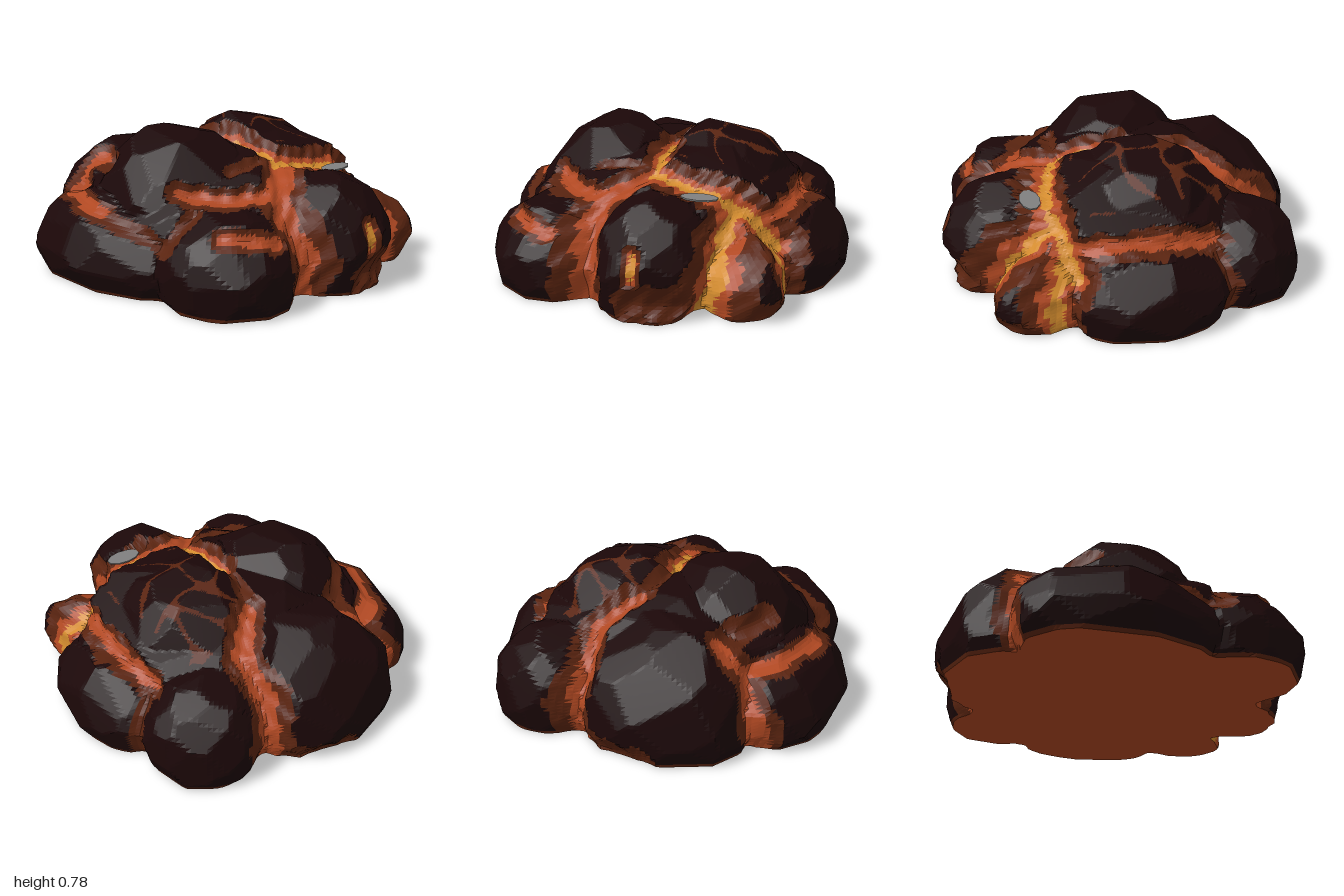
import * as THREE from 'three';

// seeded random numbers
let seed = 11;
const rand = () => (seed = (seed * 16807) % 2147483647) / 2147483647;

const mat = (name, color) => {
  const m = new THREE.MeshStandardMaterial({ color, flatShading: true });
  m.name = name;
  return m;
};

// unit direction from azimuth (0 = front, 90 = left) and elevation, in radians
const direction = (az, el) =>
  new THREE.Vector3(Math.cos(el) * Math.sin(az), Math.sin(el), Math.cos(el) * Math.cos(az));

// chiselled boulder: a set of planes around an ellipsoid (centre, radii)
function boulder(c, r, count = 70) {
  const planes = [];
  for (let i = 0; i < count; i++) {
    const y = 1 - 2 * (i + 0.5) / count, a = i * 2.39996, s = Math.sqrt(1 - y * y);
    const n = new THREE.Vector3(s * Math.cos(a), y, s * Math.sin(a));
    n.x += (rand() - 0.5) * 0.3; n.y += (rand() - 0.5) * 0.3; n.z += (rand() - 0.5) * 0.3;
    n.normalize();
    const h = Math.hypot(n.x * r[0], n.y * r[1], n.z * r[2]);
    planes.push({ n, w: h * (0.95 + rand() * 0.06) + n.x * c[0] + n.y * c[1] + n.z * c[2] });
  }
  return planes;
}

// distance at which a ray from the origin leaves a boulder, 0 for a miss
function exitDistance(planes, d) {
  let near = 0, far = 9;
  for (const { n, w } of planes) {
    const k = n.dot(d);
    if (k > 1e-6) far = Math.min(far, w / k);
    else if (k < -1e-6) near = Math.max(near, w / k);
    else if (w < 0) return 0;
  }
  return far > near ? far : 0;
}

// crack: hottest tone (1 ember, 2 lava, 3 glow), half width, then azimuth and elevation pairs
function crack(tone, width, ...angles) {
  const path = [], rad = Math.PI / 180;
  for (let i = 0; i < angles.length; i += 2) path.push(direction(angles[i] * rad, angles[i + 1] * rad));
  return { tone, width, path };
}

function makeCracks() {
  const list = [];
  const add = (...args) => list.push(crack(...args));
  // over the top, from the back to the front
  add(2, 0.10, 160, 0, 161, 25, 153, 40, 166, 59);
  add(1, 0.05, 166, 59, 174, 74, 180, 86);
  add(3, 0.10, 180, 88, -4, 78, 0, 57);
  // hot ridge behind the front plates
  add(3, 0.13, 0, 57, 19, 50, 41, 39, 52, 29, 59, 20);
  add(2, 0.12, 0, 57, -19, 40, -22, 31, -17, 13, -19, 0);
  add(2, 0.08, -19, 40, -46, 38, -66, 39);
  // around the small front right rock
  add(3, 0.15, 44, 36, 32, 21, 25, 0);
  add(3, 0.12, 52, 29, 54, 13, 55, 0);
  add(1, 0.10, 25, 0, 40, 0, 55, 0);
  // left-hand side
  add(2, 0.07, 54, 29, 74, 32, 98, 32);
  add(2, 0.08, 98, 32, 115, 28);
  add(1, 0.04, 115, 28, 115, 0);
  // right-hand side
  add(2, 0.08, -137, 0, -140, 14, -139, 25, -146, 36);
  add(1, 0.07, -146, 36, -130, 41, -118, 41);
  add(2, 0.05, -139, 25, -117, 26, -97, 25);
  add(1, 0.04, -97, 25, -66, 19, -59, 32);
  // small splits in the plates
  add(2, 0.05, -48, 23, -30, 21);
  add(3, 0.04, 3, 21, 3, 13);
  add(1, 0.09, 3, 6, 22, 6);
  add(1, 0.08, 161, 2, 186, 0);
  add(1, 0.05, -19, 59, -43, 53);
  return list;
}

// groove depth and tone of the cracks in a direction
function crackAt(d, cracks) {
  const seg = new THREE.Line3(), near = new THREE.Vector3();
  const wobble = 0.014 * Math.sin(d.x * 23 + d.z * 11) * Math.sin(d.z * 27 - d.y * 17)
    + 0.008 * Math.sin(d.x * 51 - d.y * 37 + d.z * 13);
  let depth = 0, tone = 0;
  for (const c of cracks) {
    for (let i = 1; i < c.path.length; i++) {
      seg.set(c.path[i - 1], c.path[i]).closestPointToPoint(d, true, near);
      near.normalize();
      const s = Math.max(0, near.distanceTo(d) * 0.8 + wobble * Math.min(1, c.width / 0.08)) / c.width;
      if (s >= 1) continue;
      depth = Math.max(depth, c.width * 0.65 * (1 - s) * (1 + s * 0.6));
      tone = Math.max(tone, Math.min(c.tone, s < 0.24 ? 3 : s < 0.52 ? 2 : 1));
    }
  }
  return { depth, tone };
}

export function createModel() {
  const group = new THREE.Group();
  group.name = 'lavaRock';

  const cracks = makeCracks();
  const rocks = [
    boulder([0, 0.12, 0], [0.88, 0.59, 0.90], 130),    // main dome
    boulder([-0.32, 0.25, -0.05], [0.45, 0.52, 0.50]), // top left
    boulder([0.24, 0.26, -0.05], [0.44, 0.51, 0.50]),  // top right
    boulder([-0.12, 0.15, -0.50], [0.55, 0.46, 0.50]), // back
    boulder([-0.62, 0.15, -0.18], [0.36, 0.31, 0.58]), // left rim
    boulder([0.64, 0.13, 0], [0.33, 0.30, 0.48]),      // right rim
    boulder([0.48, 0.16, -0.53], [0.36, 0.33, 0.33]),  // back right rim
    boulder([-0.48, 0.15, 0.48], [0.38, 0.34, 0.40]),  // front left
    boulder([0.09, 0.20, 0.64], [0.35, 0.38, 0.36]),   // front middle
    boulder([0.55, 0.10, 0.58], [0.23, 0.28, 0.28]),   // small front right
  ];

  // surface points: the outermost rock, with the cracks cut in
  const COLS = 240, ROWS = 80, pts = [];
  for (let j = 0; j <= ROWS; j++) {
    for (let i = 0; i < COLS; i++) {
      const d = direction(i / COLS * Math.PI * 2, j / ROWS * Math.PI / 2);
      const r = Math.max(...rocks.map((p) => exitDistance(p, d)));
      pts.push(d.multiplyScalar(r - crackAt(d, cracks).depth));
    }
  }

  // sort faces by tone: 0 crust, 1 ember, 2 lava, 3 glow
  const faces = [[], [], [], []];
  const centre = new THREE.Vector3();
  const face = (a, b, c) => {
    centre.copy(pts[a]).add(pts[b]).add(pts[c]).divideScalar(3);
    const { x, y, z } = centre;
    let { tone } = crackAt(centre.normalize(), cracks);
    // blotchy veins over the top right plate
    const vein = Math.sin(x * 15 + 2 * Math.sin(z * 9)) + Math.sin(z * 14 + 2 * Math.sin(x * 11));
    if (tone === 0 && y > 0.5 && x > 0.1 && x < 0.56 && z > -0.45 && z < 0.3 && Math.abs(vein) < 0.17) tone = 1;
    if (tone === 0 && y < 0.015) tone = 1;
    for (const v of [a, b, c]) faces[tone].push(pts[v].x, pts[v].y, pts[v].z);
  };
  for (let j = 0; j < ROWS; j++) {
    for (let i = 0; i < COLS; i++) {
      const a = j * COLS + i, b = j * COLS + (i + 1) % COLS;
      face(a, b, b + COLS);
      if (j < ROWS - 1) face(a, b + COLS, a + COLS);
    }
  }

  const materials = [
    mat('dark crust', 0x1b0708),
    mat('ember brown', 0x5a2410),
    mat('lava orange', 0xb04822),
    mat('glowing gold', 0xd48c2e),
  ];
  const add = (name, positions, material) => {
    const g = new THREE.BufferGeometry();
    g.setAttribute('position', new THREE.Float32BufferAttribute(positions, 3));
    g.computeVertexNormals();
    const m = new THREE.Mesh(g, material);
    m.name = name;
    group.add(m);
  };
  ['crustPlates', 'emberEdges', 'lavaCracks', 'glowingCracks'].forEach((n, k) => add(n, faces[k], materials[k]));

  // flat underside
  const under = [];
  for (let i = 0; i < COLS; i++) {
    const a = pts[i], b = pts[(i + 1) % COLS];
    under.push(0, 0, 0, b.x, 0, b.z, a.x, 0, a.z);
  }
  add('underside', under, materials[2]);

  // small grey stone chip resting on the front plate
  let top = 0;
  for (const p of pts) {
    if (((p.x - 0.28) / 0.1) ** 2 + ((p.z - 0.55) / 0.055) ** 2 < 1) top = Math.max(top, p.y);
  }
  const chip = new THREE.Mesh(new THREE.CylinderGeometry(0.1, 0.1, 0.008, 10), mat('stone grey', 0x808080));
  chip.name = 'stoneChip';
  chip.scale.z = 0.55;
  chip.position.set(0.28, top, 0.55);
  group.add(chip);

  return group;
}
